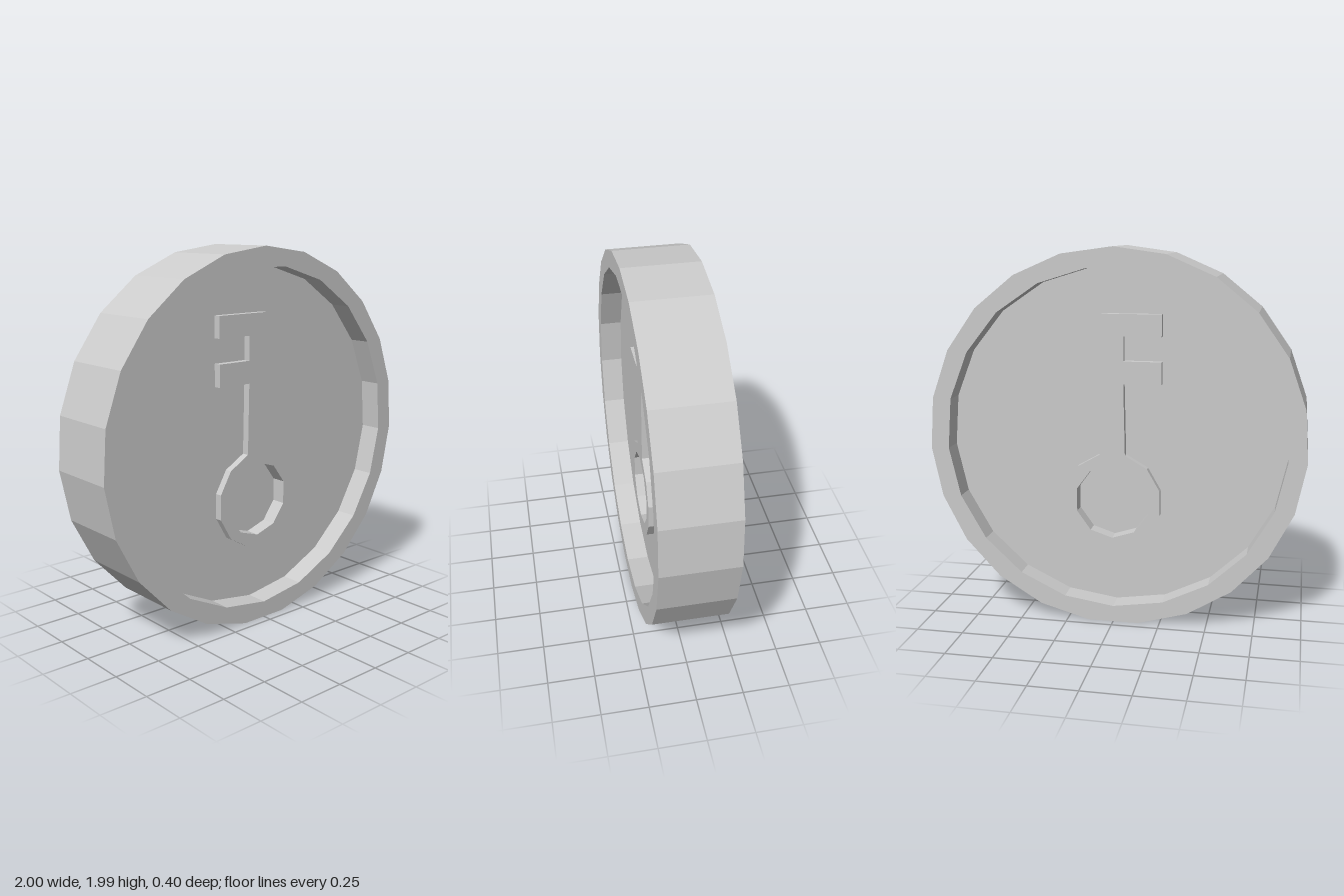
import * as THREE from 'three';

const CY = 0.995;                 // coin centre height
const BOW = { x: 0.02, y: 0.652 }; // centre of the key's bow

// Corners of a regular polygon, starting at the given angle
function ngon(x, y, r, sides, start) {
  return Array.from({ length: sides }, (_, i) => {
    const a = start + (i / sides) * Math.PI * 2;
    return new THREE.Vector2(x + r * Math.cos(a), y + r * Math.sin(a));
  });
}

export function createModel() {
  const group = new THREE.Group();
  group.name = 'keyCoin';
  const material = new THREE.MeshStandardMaterial({ color: 0xcccccc, flatShading: true });

  // Extrudes an outline (with an optional hole) evenly to both sides of z = 0
  function addSlab(name, outline, halfDepth, hole) {
    const shape = new THREE.Shape(outline);
    if (hole) shape.holes.push(new THREE.Path(hole));
    const geometry = new THREE.ExtrudeGeometry(shape, { depth: halfDepth * 2, bevelEnabled: false });
    geometry.translate(0, 0, -halfDepth);
    const mesh = new THREE.Mesh(geometry, material);
    mesh.name = name;
    group.add(mesh);
  }

  const up = Math.PI / 2;

  // Raised rim: 23-sided outside, 21-sided inside
  addSlab('rim', ngon(0, CY, 1.002, 23, up), 0.2, ngon(0, CY, 0.905, 21, -up));

  // Recessed faces, open where the bow's deeper hollow sits
  const hollow = ngon(BOW.x, BOW.y, 0.23, 10, up);
  addSlab('face', ngon(0, CY, 0.94, 21, -up), 0.08, hollow);

  // Key relief on both faces: 12-sided bow, shaft and two teeth in one outline
  const bow = ngon(BOW.x, BOW.y, 0.265, 12, up + Math.PI / 12);
  const left = -0.04, right = 0.08, tip = -0.24;
  const shaft = [
    [right, 1.655], [tip, 1.655], [tip, 1.54], [left, 1.54],
    [left, 1.41], [tip, 1.41], [tip, 1.29], [left, 1.29],
  ].map(([x, y]) => new THREE.Vector2(x, y));
  addSlab('key', [...bow, ...shaft], 0.12, ngon(BOW.x, BOW.y, 0.203, 10, up));

  // Floor of the hollow inside the bow
  addSlab('bowFloor', hollow, 0.04);

  return group;
}
